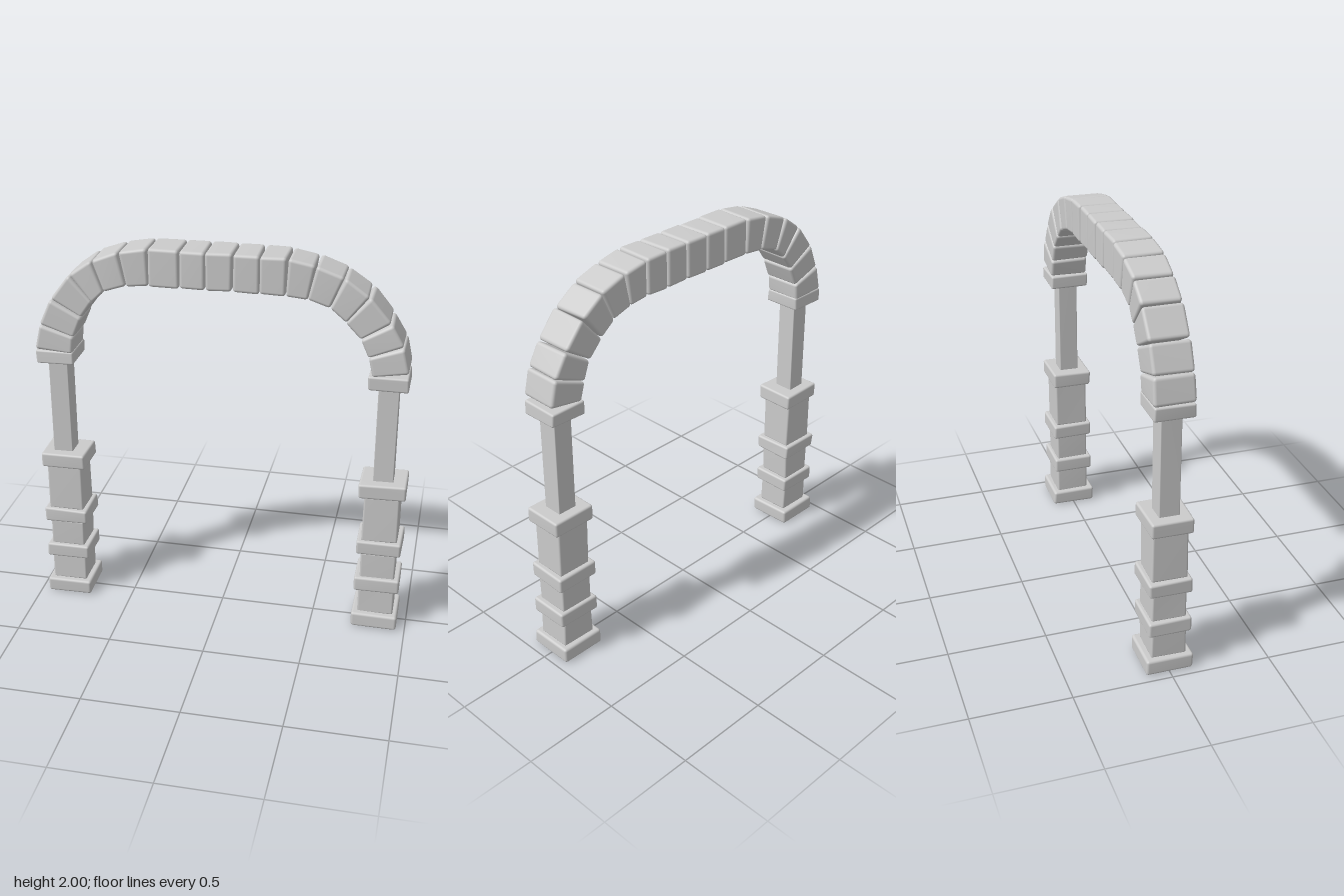
import * as THREE from 'three';
import { RoundedBoxGeometry } from 'three/addons/geometries/RoundedBoxGeometry.js';
import { mergeVertices } from 'three/addons/utils/BufferGeometryUtils.js';

const material = new THREE.MeshStandardMaterial({ color: 0xcccccc });

// small seeded generator, returns -1..1
let seed = 7;
function wobble() {
  seed = (seed * 16807) % 2147483647;
  return (seed / 2147483647) * 2 - 1;
}

// Worn stone: a rounded box fitted between four xy corners
// (bottom/start a-b, top/end d-c) and given a half depth in z.
function stone(name, [a, b, c, d], halfDepth, radius, wear) {
  const w = (Math.hypot(b[0] - a[0], b[1] - a[1]) + Math.hypot(c[0] - d[0], c[1] - d[1])) / 2;
  const h = (Math.hypot(d[0] - a[0], d[1] - a[1]) + Math.hypot(c[0] - b[0], c[1] - b[1])) / 2;
  const rounded = new RoundedBoxGeometry(w, h, halfDepth * 2, 3, radius);
  rounded.deleteAttribute('uv');
  rounded.deleteAttribute('normal');
  const geometry = mergeVertices(rounded, 1e-5);
  geometry.clearGroups();

  // eight slightly displaced corners, back four first
  const corners = [];
  for (const z of [-halfDepth, halfDepth]) {
    for (const p of [a, b, d, c]) {
      corners.push(new THREE.Vector3(p[0] + wobble() * wear, p[1] + wobble() * wear, z + wobble() * wear));
    }
  }
  const pos = geometry.attributes.position;
  const v = new THREE.Vector3();
  for (let i = 0; i < pos.count; i++) {
    const t = [pos.getX(i) / w + 0.5, pos.getY(i) / h + 0.5, pos.getZ(i) / (2 * halfDepth) + 0.5];
    v.set(0, 0, 0);
    corners.forEach((corner, k) => {
      const weight = (k & 1 ? t[0] : 1 - t[0]) * (k & 2 ? t[1] : 1 - t[1]) * (k & 4 ? t[2] : 1 - t[2]);
      v.addScaledVector(corner, weight);
    });
    pos.setXYZ(i, v.x, v.y, v.z);
  }
  geometry.computeVertexNormals();
  const mesh = new THREE.Mesh(geometry, material);
  mesh.name = name;
  return mesh;
}

// name, bottom, top, half width, half depth, corner radius, wear
const pillarParts = [
  ['foot', 0, 0.08, 0.12, 0.12, 0.014, 0.003],
  ['lowerBlock', 0.075, 0.222, 0.092, 0.088, 0.01, 0.003],
  ['lowerBand', 0.217, 0.294, 0.116, 0.107, 0.012, 0.003],
  ['middleBlock', 0.288, 0.44, 0.091, 0.088, 0.01, 0.003],
  ['middleBand', 0.437, 0.515, 0.116, 0.108, 0.012, 0.003],
  ['upperBlock', 0.51, 0.77, 0.091, 0.088, 0.01, 0.003],
  ['upperBand', 0.765, 0.845, 0.118, 0.106, 0.012, 0.003],
  ['shaft', 0.84, 1.368, 0.051, 0.051, 0.004, 0.001],
  ['capital', 1.362, 1.432, 0.098, 0.1, 0.01, 0.003],
];

function pillar(name, x, topX) {
  const group = new THREE.Group();
  group.name = name;
  for (const [part, y0, y1, hw, hd, radius, wear] of pillarParts) {
    const cx = y0 > 0.8 ? topX : x;
    const rect = [[cx - hw, y0], [cx + hw, y0], [cx + hw, y1], [cx - hw, y1]];
    group.add(stone(part, rect, hd, radius, wear));
  }
  return group;
}

// Joints between arch stones: outer x, y then inner x, y
const joints = [
  [-0.95, 1.43, -0.755, 1.42],
  [-0.92, 1.57, -0.745, 1.512],
  [-0.86, 1.705, -0.7, 1.62],
  [-0.755, 1.84, -0.638, 1.705],
  [-0.64, 1.923, -0.578, 1.765],
  [-0.5, 1.973, -0.463, 1.8],
  [-0.355, 2, -0.35, 1.81],
  [-0.195, 2, -0.195, 1.81],
  [-0.07, 2, -0.07, 1.81],
  [0.065, 2, 0.065, 1.81],
  [0.195, 2, 0.195, 1.81],
  [0.33, 1.998, 0.325, 1.81],
  [0.463, 1.973, 0.43, 1.8],
  [0.605, 1.92, 0.537, 1.765],
  [0.728, 1.835, 0.616, 1.7],
  [0.835, 1.71, 0.693, 1.62],
  [0.903, 1.595, 0.73, 1.525],
  [0.932, 1.455, 0.755, 1.428],
];

function arch() {
  const group = new THREE.Group();
  group.name = 'arch';
  const mix = (p, q, t) => [p[0] + (q[0] - p[0]) * t, p[1] + (q[1] - p[1]) * t];
  for (let i = 0; i + 1 < joints.length; i++) {
    const [outer0, inner0] = [joints[i].slice(0, 2), joints[i].slice(2)];
    const [outer1, inner1] = [joints[i + 1].slice(0, 2), joints[i + 1].slice(2)];
    // leave a narrow gap at each joint
    const quad = [
      mix(inner0, inner1, 0.01), mix(inner0, inner1, 0.99),
      mix(outer0, outer1, 0.98), mix(outer0, outer1, 0.02),
    ];
    group.add(stone('archStone', quad, 0.099, 0.016, 0.003));
  }
  return group;
}

export function createModel() {
  seed = 7;
  const model = new THREE.Group();
  model.name = 'stoneArchway';
  model.add(pillar('rightPillar', -0.84, -0.85));
  model.add(pillar('leftPillar', 0.837, 0.836));
  model.add(arch());
  return model;
}
